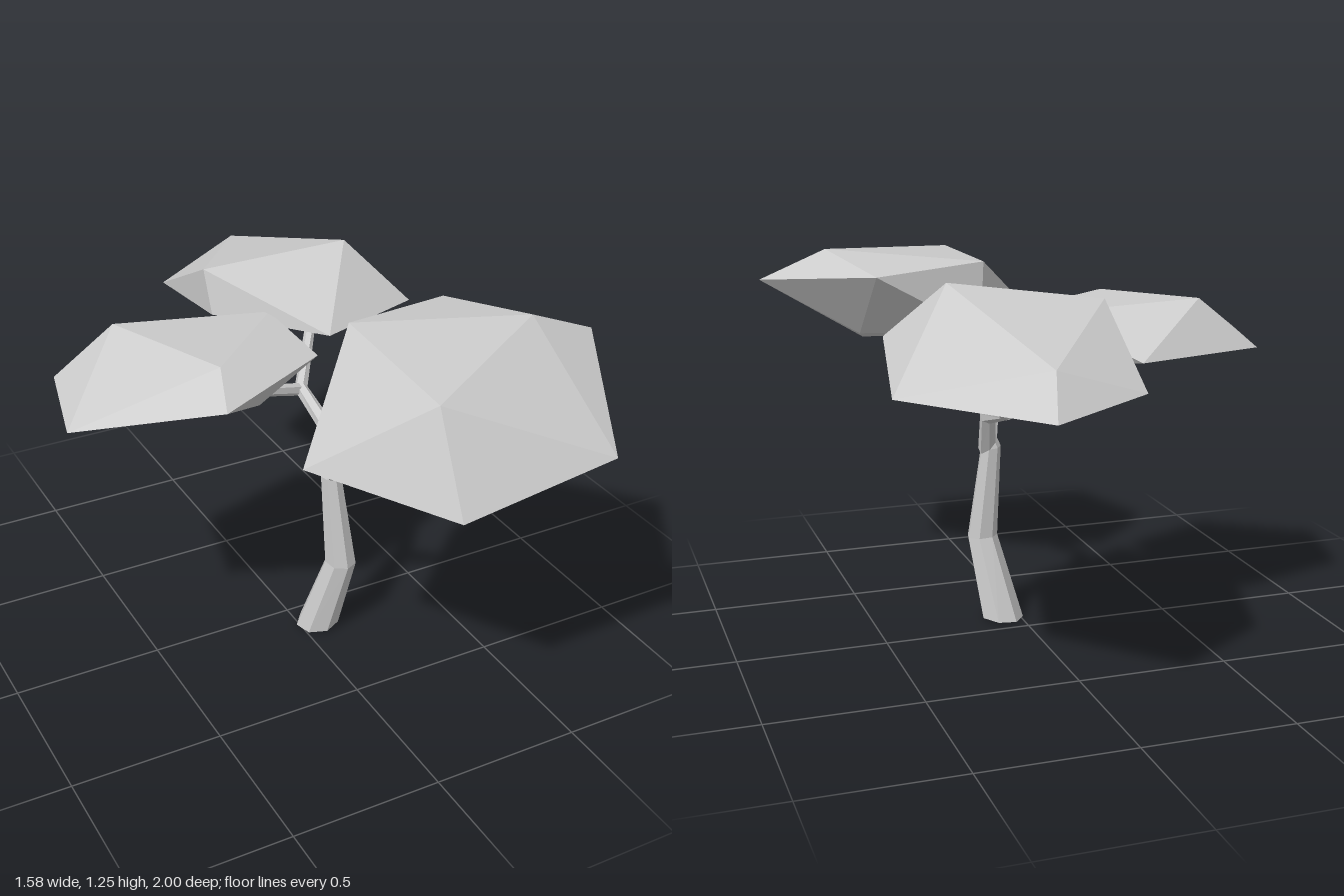
import * as THREE from 'three';
import { ConvexGeometry } from 'three/addons/geometries/ConvexGeometry.js';

const UP = new THREE.Vector3(0, 1, 0);
const material = new THREE.MeshStandardMaterial({ color: 0xcccccc, flatShading: true });

// Tapered faceted limb through joints [x, y, z, radius], capped at both ends
function limb(name, joints, sides, startDir) {
  const centers = joints.map(j => new THREE.Vector3(j[0], j[1], j[2]));
  const last = centers.length - 1;
  const pos = [], index = [];
  centers.forEach((c, i) => {
    const dir = new THREE.Vector3();
    if (i > 0) dir.add(c.clone().sub(centers[i - 1]).normalize());
    if (i < last) dir.add(centers[i + 1].clone().sub(c).normalize());
    if (i === 0 && startDir) dir.copy(startDir);
    const q = new THREE.Quaternion().setFromUnitVectors(UP, dir.normalize());
    for (let s = 0; s < sides; s++) {
      const a = (s / sides) * Math.PI * 2, r = joints[i][3];
      const p = new THREE.Vector3(Math.sin(a) * r, 0, Math.cos(a) * r).applyQuaternion(q).add(c);
      pos.push(p.x, p.y, p.z);
    }
  });
  for (let i = 0; i < last; i++) {
    for (let s = 0; s < sides; s++) {
      const a = i * sides + s, b = i * sides + (s + 1) % sides;
      index.push(a, b, b + sides, a, b + sides, a + sides);
    }
  }
  for (let s = 1; s < sides - 1; s++) {
    const t = last * sides;
    index.push(0, s + 1, s, t, t + s, t + s + 1);
  }
  const g = new THREE.BufferGeometry();
  g.setAttribute('position', new THREE.Float32BufferAttribute(pos, 3));
  g.setIndex(index);
  const flat = g.toNonIndexed();
  flat.computeVertexNormals();
  const mesh = new THREE.Mesh(flat, material);
  mesh.name = name;
  return mesh;
}

// Faceted leaf clump wrapped around its corner points
function canopy(name, corners) {
  const mesh = new THREE.Mesh(
    new ConvexGeometry(corners.map(c => new THREE.Vector3(...c))), material);
  mesh.name = name;
  return mesh;
}

export function createModel() {
  const tree = new THREE.Group();
  tree.name = 'tree';

  // Trunk and forking branches
  tree.add(
    limb('trunk', [
      [0.062, 0.006, 0.108, 0.074], [0.112, 0.285, 0.175, 0.053],
      [0.088, 0.61, 0.145, 0.035], [0.1, 0.66, 0.145, 0.024],
    ], 7, new THREE.Vector3(-0.07, 1, -0.03)),
    limb('frontBranch', [
      [0.1, 0.6, 0.14, 0.03], [0.045, 0.755, 0.25, 0.027],
      [0.275, 0.885, 0.53, 0.02], [0.29, 1.02, 0.5, 0.014],
    ], 6),
    limb('backBranch', [
      [0.1, 0.6, 0.15, 0.03], [0.12, 0.735, 0.07, 0.027], [0.125, 0.795, -0.14, 0.023],
      [0.25, 0.9, -0.315, 0.018], [0.27, 1.02, -0.35, 0.013],
    ], 6),
    limb('sideBranch', [
      [0.125, 0.79, -0.14, 0.022], [-0.165, 0.895, -0.045, 0.018], [-0.22, 1.0, -0.02, 0.013],
    ], 6),
  );

  // Leaf clumps
  tree.add(
    canopy('frontCanopy', [
      [0.05, 1.21, 0.82], [0.56, 1.255, 0.53], [0.07, 1.225, 0.27],
      [-0.24, 0.945, 0.56], [0.46, 1.2, 0.19], [0.79, 1.16, 0.53],
      [0.55, 1.0, 1.0], [0.04, 0.915, 0.985], [0.09, 0.99, 0.24],
      [0.4, 0.91, 0.69], [0.47, 0.975, 0.42],
    ]),
    canopy('backCanopy', [
      [0.35, 1.245, -0.26], [-0.12, 1.19, -0.37], [0.2, 1.08, -0.83],
      [0.255, 0.97, -1.0], [0.61, 0.98, -0.61], [0.51, 1.06, -0.09],
      [0.1, 1.1, 0.1], [-0.12, 1.05, -0.31], [-0.1, 0.98, -0.77],
      [0.3, 0.935, -0.48], [0.25, 0.96, -0.2],
    ]),
    canopy('sideCanopy', [
      [-0.51, 1.145, -0.21], [-0.32, 1.125, 0.18], [0, 1.11, -0.13],
      [-0.79, 0.98, 0.1], [-0.7, 0.98, -0.26], [-0.24, 0.985, -0.4],
      [0.03, 1.07, 0.15], [-0.37, 1.05, 0.33], [-0.47, 0.905, 0.03],
      [-0.12, 0.94, -0.12], [-0.18, 0.95, 0.16],
    ]),
  );
  return tree;
}
